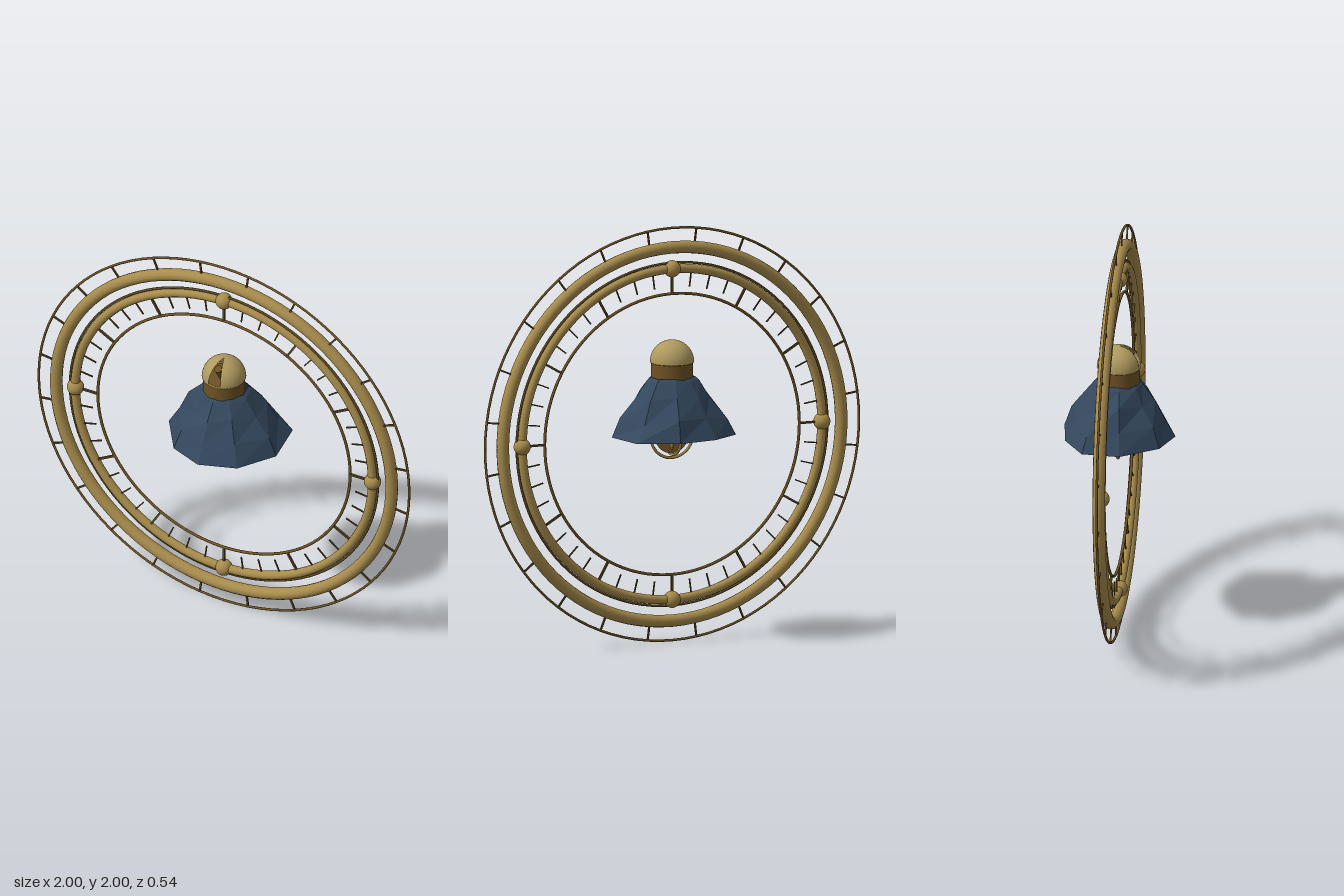
import * as THREE from 'three';

const mat = (color, extra = {}) => {
  const m = new THREE.MeshStandardMaterial({ color, ...extra });
  return m;
};
const brass = mat(0xa88c4c);
const bronze = mat(0x6e5224);
const darkBronze = mat(0x5a4722);
const dome = mat(0xb09a60, { side: THREE.DoubleSide });
const slate = mat(0x34485e, { flatShading: true, side: THREE.DoubleSide });
const amber = mat(0xc08a4a, { flatShading: true });
const plate = mat(0x8a6830, { side: THREE.DoubleSide });

function add(parent, name, geometry, material, x = 0, y = 0, z = 0) {
  const mesh = new THREE.Mesh(geometry, material);
  mesh.name = name;
  mesh.position.set(x, y, z);
  parent.add(mesh);
  return mesh;
}

const ring = (parent, name, radius, tube, material = brass) =>
  add(parent, name, new THREE.TorusGeometry(radius, tube, 12, 96), material);

// Thin radial bars between two radii
function radialBars(parent, name, count, offset, r0, r1, width, skip = 0) {
  const geometry = new THREE.BoxGeometry(width, r1 - r0, width);
  for (let i = 0; i < count; i++) {
    if (skip && i % skip === 0) continue;
    const a = offset + (i / count) * Math.PI * 2;
    const r = (r0 + r1) / 2;
    const bar = add(parent, name, geometry, darkBronze, Math.sin(a) * r, Math.cos(a) * r, 0);
    bar.rotation.z = -a;
  }
}

// Faceted open mantle: an irregular footprint shrinking towards the collar
function mantleGeometry() {
  const foot = [[0.09, -0.27], [0.275, -0.18], [0.3, 0.04], [0.18, 0.21], [0, 0.27],
    [-0.16, 0.21], [-0.28, 0.03], [-0.265, -0.15], [-0.11, -0.245]];
  const levels = [[1.0, 1], [1.09, 0.83], [1.19, 0.61], [1.265, 0.42], [1.28, 0.36]];
  const n = foot.length;
  const positions = [], index = [];
  levels.forEach(([y, s], j) => foot.forEach(([x, z], i) => {
    const inner = j > 0 && j < 3;
    const k = s * (inner ? 1 + 0.05 * Math.sin(i * 2.7 + j * 1.9) : 1);
    positions.push(x * k, y + (inner ? 0.015 * Math.sin(i * 4.1 + j) : 0), z * k);
  }));
  for (let j = 0; j < levels.length - 1; j++) {
    for (let i = 0; i < n; i++) {
      const a = j * n + i, b = j * n + (i + 1) % n;
      index.push(a, a + n, b, b, a + n, b + n);
    }
  }
  const g = new THREE.BufferGeometry();
  g.setAttribute('position', new THREE.Float32BufferAttribute(positions, 3));
  g.setIndex(index);
  g.computeVertexNormals();
  return g;
}

export function createModel() {
  const model = new THREE.Group();
  model.name = 'ringedObservatory';

  // Concentric rings standing in the XY plane
  const rings = new THREE.Group();
  rings.name = 'rings';
  rings.position.y = 1;
  model.add(rings);
  ring(rings, 'outerRim', 0.994, 0.006, bronze);
  ring(rings, 'mainRing', 0.9, 0.03);
  ring(rings, 'trimRing', 0.826, 0.006, darkBronze);
  ring(rings, 'middleRing', 0.797, 0.022);
  ring(rings, 'innerRim', 0.677, 0.007, bronze);

  // Spokes and dial ticks
  radialBars(rings, 'outerSpoke', 24, Math.PI / 24, 0.92, 0.992, 0.008);
  radialBars(rings, 'majorTick', 12, 0, 0.677, 0.785, 0.01);
  radialBars(rings, 'minorTick', 48, 0, 0.71, 0.78, 0.006, 4);

  // Four ball joints
  for (let i = 0; i < 4; i++) {
    const a = i * Math.PI / 2;
    add(rings, 'ballJoint', new THREE.SphereGeometry(0.041, 20, 14), brass,
      Math.sin(a) * 0.797, Math.cos(a) * 0.797, 0);
  }

  // Central mantle
  add(model, 'mantle', mantleGeometry(), slate);

  // Drum with a slit dome on top
  add(model, 'drum', new THREE.CylinderGeometry(0.1, 0.1, 0.09, 32), bronze, 0, 1.305, 0);
  const rim = add(model, 'domeRim', new THREE.TorusGeometry(0.101, 0.005, 8, 40), brass, 0, 1.35, 0);
  rim.rotation.x = Math.PI / 2;
  const gap = 0.62;
  add(model, 'dome', new THREE.SphereGeometry(0.105, 40, 16,
    Math.PI / 2 + gap / 2, Math.PI * 2 - gap, 0, Math.PI / 2), dome, 0, 1.35, 0);

  // Telescope behind the slit
  const scope = add(model, 'telescope', new THREE.CylinderGeometry(0.018, 0.022, 0.11, 16),
    bronze, 0, 1.385, 0.03);
  scope.rotation.x = 0.6;

  // Hanging core: crossed hoops, a plate and a crystal
  const core = new THREE.Group();
  core.name = 'core';
  core.position.y = 1;
  model.add(core);
  const hoop = (r) => new THREE.TorusGeometry(r, 0.007, 8, 48);
  add(core, 'frontHoop', hoop(0.114), brass);
  add(core, 'sideHoop', hoop(0.098), brass).rotation.y = Math.PI / 2;
  add(core, 'backPlate', new THREE.CircleGeometry(0.092, 40), plate);
  const crystal = add(core, 'crystal', new THREE.OctahedronGeometry(0.08), amber);
  crystal.scale.set(0.45, 1, 0.36);

  return model;
}
